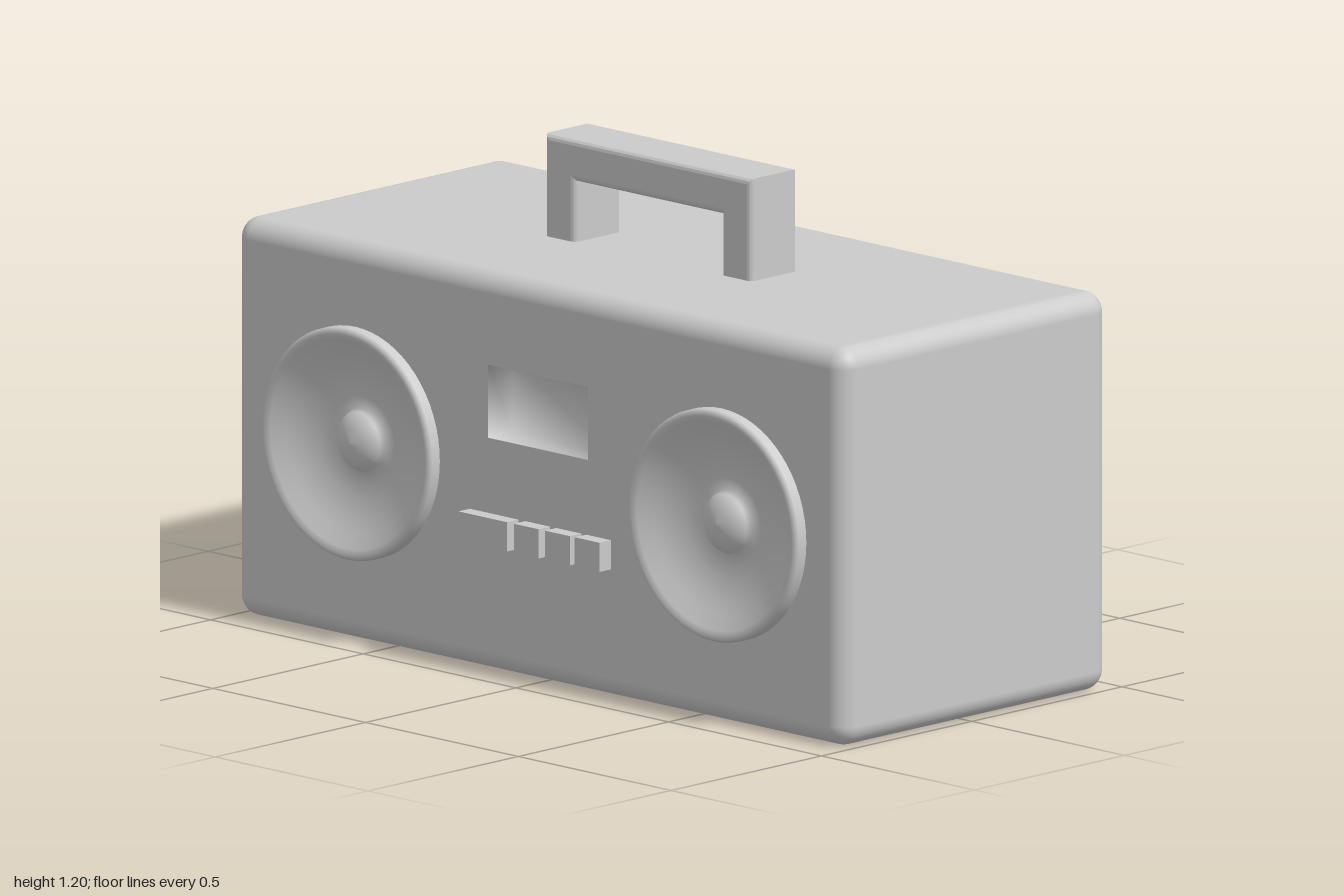
import * as THREE from 'three';
import { RoundedBoxGeometry } from 'three/addons/geometries/RoundedBoxGeometry.js';
import { mergeVertices } from 'three/addons/utils/BufferGeometryUtils.js';

const W = 2, H = 0.955, BACK = -0.463, FRONT = 0.425, R = 0.05;
const DEPTH = FRONT - BACK;
const SPEAKER = { x: 0.6, y: 0.478 };
const WINDOW = { x0: -0.165, x1: 0.162, y0: 0.56, y1: 0.735, depth: 0.08 };
const SLOT = { x0: -0.57, x1: 0.57, y0: 0.205, y1: 0.395, depth: 0.08 };

const material = new THREE.MeshStandardMaterial({ color: 0xcccccc });

function add(parent, name, geometry, x = 0, y = 0, z = 0) {
  const mesh = new THREE.Mesh(geometry, material);
  mesh.name = name;
  mesh.position.set(x, y, z);
  parent.add(mesh);
  return mesh;
}

function rect(Type, { x0, x1, y0, y1 }) {
  return new Type([[x0, y0], [x1, y0], [x1, y1], [x0, y1]].map(([x, y]) => new THREE.Vector2(x, y)));
}

// Rounded case without the flat middles of its front and back
function shellGeometry() {
  const geometry = new RoundedBoxGeometry(W, H, DEPTH, 5, R);
  const p = geometry.attributes.position;
  const keep = [];
  for (let i = 0; i < p.count; i += 3) {
    const flat = [0, 1, 2].every((k) => Math.abs(p.getZ(i + k)) > DEPTH / 2 - 1e-5);
    if (!flat) keep.push(i, i + 1, i + 2);
  }
  geometry.clearGroups();
  geometry.setIndex(keep);
  return geometry;
}

// Flat panel with openings
function panelGeometry(holes) {
  const shape = rect(THREE.Shape, { x0: -W / 2 + R, x1: W / 2 - R, y0: R, y1: H - R });
  shape.holes.push(...holes);
  return new THREE.ShapeGeometry(shape, 48);
}

// Open box seen from inside, mouth at z = 0, softly shaded
function recessGeometry({ x0, x1, y0, y1, depth }) {
  const geometry = new THREE.BoxGeometry(x1 - x0, y1 - y0, depth);
  const index = Array.from(geometry.index.array);
  index.splice(24, 6); // drop the +z side
  for (let i = 0; i < index.length; i += 3) [index[i], index[i + 1]] = [index[i + 1], index[i]];
  geometry.setIndex(index);
  geometry.clearGroups();
  geometry.deleteAttribute('normal');
  geometry.deleteAttribute('uv');
  const welded = mergeVertices(geometry);
  welded.computeVertexNormals();
  return welded.translate((x0 + x1) / 2, (y0 + y1) / 2, -depth / 2);
}

// Rim, dished cone and dust cap, from the outside in
function speakerGeometry() {
  const side = [[0.277, 0.41], [0.277, 0.45], [0.272, 0.457], [0.262, 0.459]];
  const cone = [[0.25, 0.453], [0.215, 0.432], [0.18, 0.416], [0.14, 0.404], [0.105, 0.4], [0.077, 0.4]];
  const cap = [[0.07, 0.414], [0.055, 0.428], [0.03, 0.439], [0, 0.443]];
  const points = [...side, ...cone, ...cap].map(([r, z]) => new THREE.Vector2(r, z));
  return new THREE.LatheGeometry(points, 64).rotateX(Math.PI / 2);
}

// Square arch with softened edges
function handleGeometry() {
  const outline = [
    [-0.34, 0.93], [-0.24, 0.93], [-0.24, 1.1], [0.237, 1.1],
    [0.237, 0.93], [0.337, 0.93], [0.337, 1.2], [-0.34, 1.2],
  ];
  const shape = new THREE.Shape(outline.map(([x, y]) => new THREE.Vector2(x, y)));
  const bevel = 0.014, back = -0.095, front = 0.06;
  return new THREE.ExtrudeGeometry(shape, {
    depth: front - back - 2 * bevel,
    bevelSize: bevel, bevelThickness: bevel, bevelOffset: -bevel, bevelSegments: 3,
  }).translate(0, 0, back + bevel);
}

export function createModel() {
  const model = new THREE.Group();
  model.name = 'portableStereo';

  // Case
  const body = new THREE.Group();
  body.name = 'body';
  model.add(body);
  add(body, 'shell', shellGeometry(), 0, H / 2, (FRONT + BACK) / 2);

  const speakerHoles = [-1, 1].map((s) =>
    new THREE.Path().absarc(s * SPEAKER.x, SPEAKER.y, 0.268, 0, Math.PI * 2));
  add(body, 'frontPanel', panelGeometry([rect(THREE.Path, WINDOW), ...speakerHoles]), 0, 0, FRONT);
  add(body, 'frontWindow', recessGeometry(WINDOW), 0, 0, FRONT);

  add(body, 'backPanel', panelGeometry([rect(THREE.Path, SLOT)]), 0, 0, BACK).rotation.y = Math.PI;
  add(body, 'backSlot', recessGeometry(SLOT), 0, 0, BACK).rotation.y = Math.PI;

  // Speakers
  const speaker = speakerGeometry();
  add(model, 'rightSpeaker', speaker, -SPEAKER.x, SPEAKER.y);
  add(model, 'leftSpeaker', speaker, SPEAKER.x, SPEAKER.y);

  // Row of buttons: one wide, three small
  const buttons = new THREE.Group();
  buttons.name = 'buttons';
  model.add(buttons);
  [[-0.225, -0.065], [-0.043, 0.038], [0.058, 0.14], [0.156, 0.237]].forEach(([x0, x1], i) => {
    add(buttons, `button${i + 1}`, new THREE.BoxGeometry(x1 - x0, 0.07, 0.06), (x0 + x1) / 2, 0.345, 0.433);
  });

  // Carrying handle
  add(model, 'handle', handleGeometry());
  return model;
}
